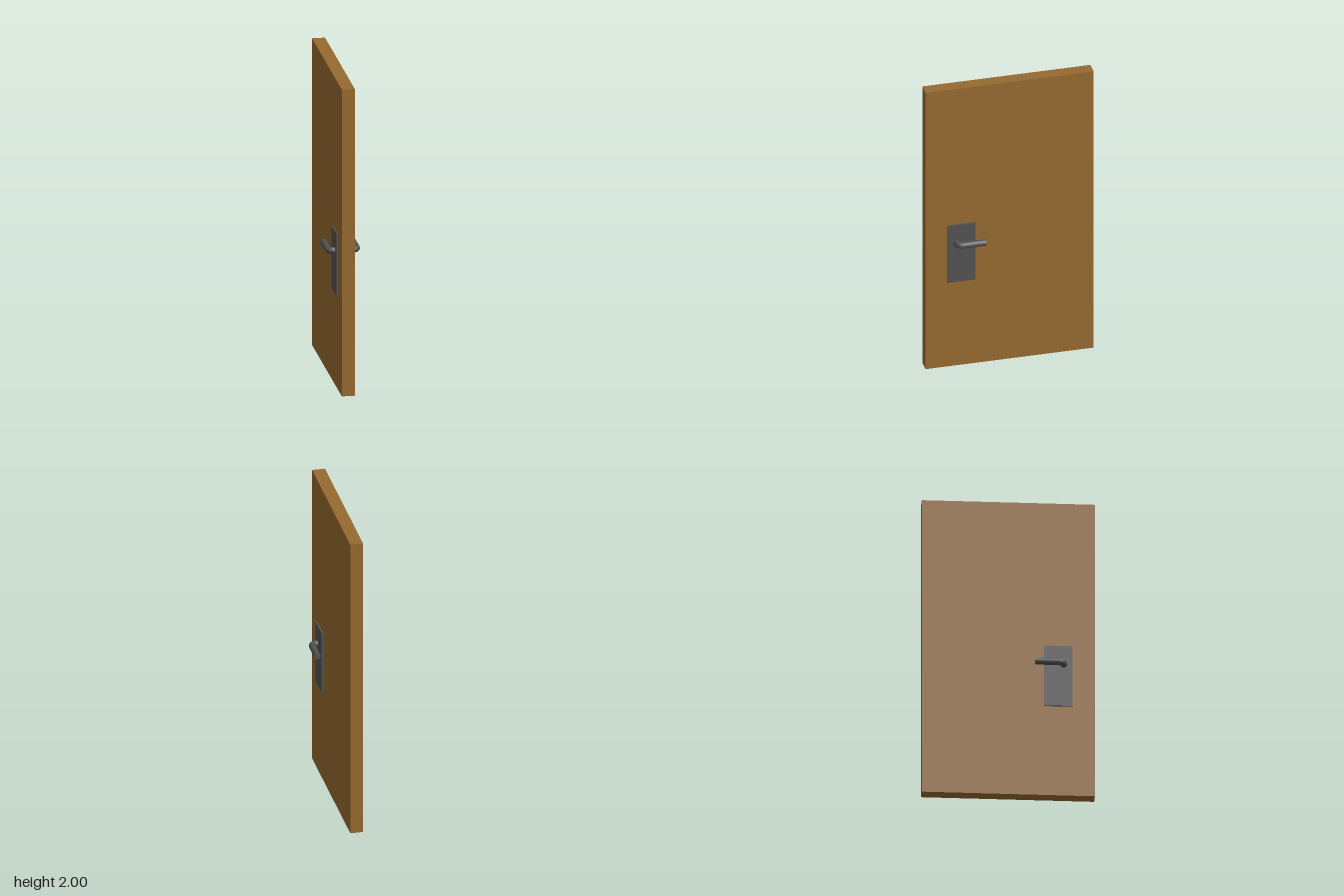
import * as THREE from 'three';

export function createModel() {
  const model = new THREE.Group();
  model.name = 'door';
  const wood = new THREE.MeshStandardMaterial({ color: 0x966a2f });
  const metal = new THREE.MeshStandardMaterial({ color: 0x525252 });

  const add = (parent, name, geometry, material, x, y, z) => {
    const mesh = new THREE.Mesh(geometry, material);
    mesh.name = name;
    mesh.position.set(x, y, z);
    parent.add(mesh);
    return mesh;
  };

  // Door leaf
  add(model, 'doorLeaf', new THREE.BoxGeometry(0.082, 2, 1.078), wood, 0, 1, 0);

  // Lever: stem, quarter bend and grip, pointing out along +x
  const r = 0.021, bend = 0.03, sides = 16;
  const reach = 0.091, stemZ = 0.343, gripEnd = 0.165;
  const bendX = reach - bend, bendZ = stemZ - bend;
  const stemStart = 0.04;
  const stem = new THREE.CylinderGeometry(r, r, bendX - stemStart, sides).rotateZ(-Math.PI / 2);
  const grip = new THREE.CylinderGeometry(r, r, bendZ - gripEnd, sides).rotateX(Math.PI / 2);
  const elbow = new THREE.TorusGeometry(bend, r, sides, 6, Math.PI / 2).rotateX(Math.PI / 2);

  for (const side of [1, -1]) {
    const label = side > 0 ? 'left' : 'right';

    // Backing plate
    add(model, label + 'Plate', new THREE.BoxGeometry(0.013, 0.41, 0.178), metal,
      side * 0.0455, 0.815, 0.31);

    // The lever is symmetric top to bottom, so a half turn about z mirrors it
    const handle = new THREE.Group();
    handle.name = label + 'Handle';
    handle.position.y = 0.893;
    if (side < 0) handle.rotation.z = Math.PI;
    add(handle, 'stem', stem, metal, (bendX + stemStart) / 2, 0, stemZ);
    add(handle, 'elbow', elbow, metal, bendX, 0, bendZ);
    add(handle, 'grip', grip, metal, reach, 0, (bendZ + gripEnd) / 2);
    model.add(handle);
  }
  return model;
}
